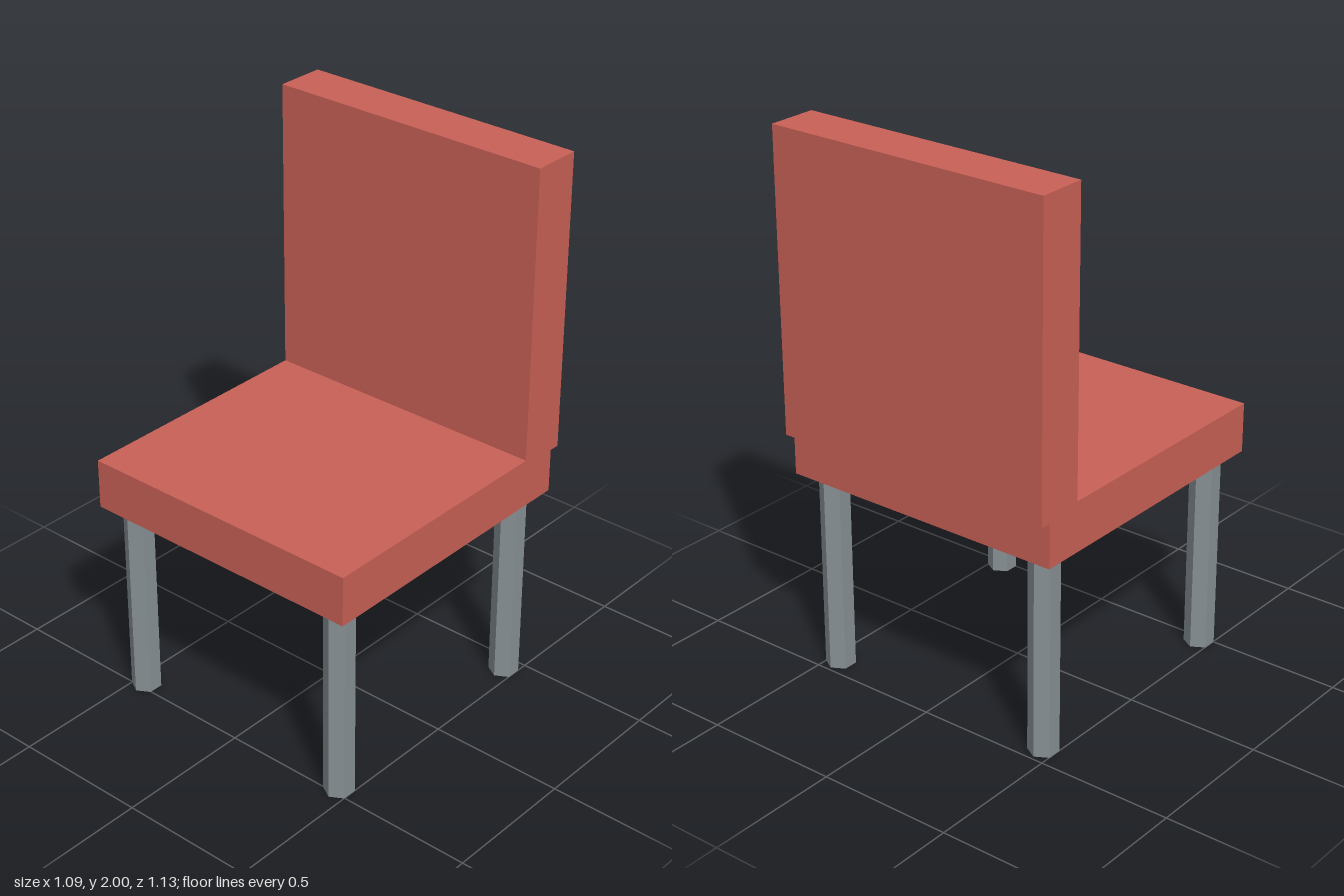
import * as THREE from 'three';

export function createModel() {
  const chair = new THREE.Group();
  chair.name = 'chair';

  const red = new THREE.MeshStandardMaterial({ color: 0xc96156 });
  red.name = 'red upholstery';
  const grey = new THREE.MeshStandardMaterial({ color: 0x889196, flatShading: true });
  grey.name = 'grey metal';

  const add = (name, geometry, material, x, y, z) => {
    const mesh = new THREE.Mesh(geometry, material);
    mesh.name = name;
    mesh.position.set(x, y, z);
    chair.add(mesh);
  };

  // Seat slab, and a backrest that overhangs its rear edge
  const width = 1.09, thickness = 0.182;
  add('seat', new THREE.BoxGeometry(width, thickness, 1.09), red, 0, 0.841, 0.02);
  add('backrest', new THREE.BoxGeometry(width, 1.09, thickness), red, 0, 1.455, -0.473);

  // Four hexagonal legs, with a corner towards the front
  const legHeight = 0.75;
  const legGeometry = new THREE.CylinderGeometry(0.054, 0.054, legHeight, 6);
  for (const [end, z] of [['front', 0.475], ['back', -0.433]]) {
    for (const [side, x] of [['Left', 0.454], ['Right', -0.454]]) {
      add(`${end}${side}Leg`, legGeometry, grey, x, legHeight / 2, z);
    }
  }

  return chair;
}
